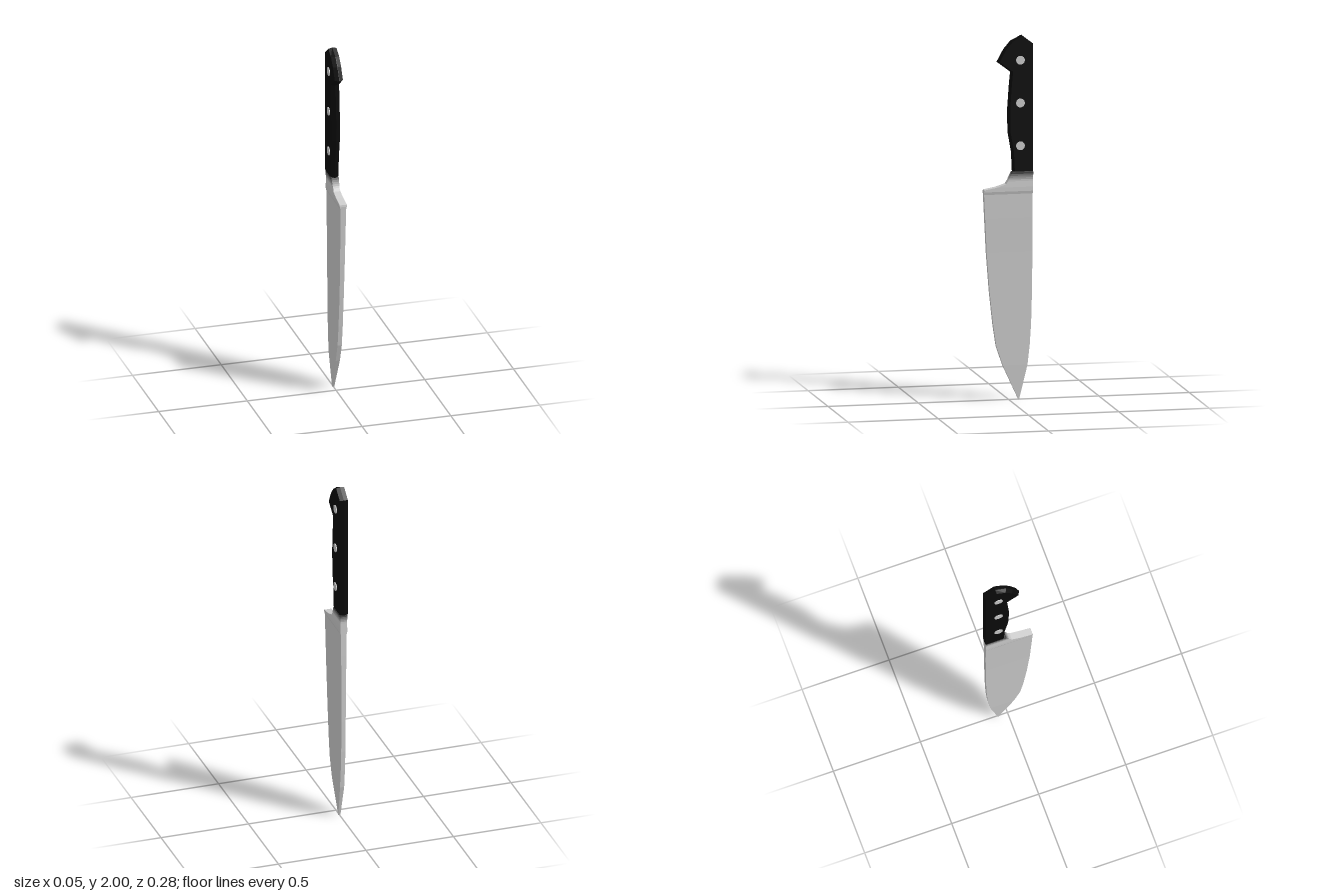
import * as THREE from 'three';

// Lofts rectangular cross-sections [y, frontZ, backZ, halfWidth] from bottom to top
function loft(rings) {
  const pos = [], idx = [];
  for (const [y, f, b, w] of rings) pos.push(w, y, f, w, y, b, -w, y, b, -w, y, f);
  for (let i = 0; i < rings.length - 1; i++) {
    for (let k = 0; k < 4; k++) {
      const a = i * 4 + k, b = i * 4 + (k + 1) % 4;
      idx.push(a, b, b + 4, a, b + 4, a + 4);
    }
  }
  const t = (rings.length - 1) * 4;
  idx.push(0, 2, 1, 0, 3, 2, t, t + 1, t + 2, t, t + 2, t + 3);
  const g = new THREE.BufferGeometry();
  g.setAttribute('position', new THREE.Float32BufferAttribute(pos, 3));
  g.setIndex(idx);
  const flat = g.toNonIndexed();
  flat.computeVertexNormals();
  return flat;
}

export function createModel() {
  const model = new THREE.Group();
  const steel = new THREE.MeshStandardMaterial({ color: 0xcccccc, flatShading: true });
  const black = new THREE.MeshStandardMaterial({ color: 0x0a0a0a, flatShading: true });
  const add = (name, geometry, material) => {
    const mesh = new THREE.Mesh(geometry, material);
    mesh.name = name;
    model.add(mesh);
    return mesh;
  };

  // Blade, point down, cutting edge to the front
  add('blade', loft([
    [0, -0.053, -0.057, 0.006],
    [0.19, 0.034, -0.102, 0.012],
    [0.295, 0.07, -0.114, 0.012],
    [0.415, 0.088, -0.122, 0.012],
    [0.6, 0.108, -0.127, 0.012],
    [0.81, 0.124, -0.129, 0.013],
    [1.0, 0.133, -0.13, 0.015],
    [1.13, 0.139, -0.13, 0.016],
  ]), steel);

  // Bolster flares at the heel and sweeps up into the neck
  add('bolster', loft([
    [1.13, 0.139, -0.13, 0.016],
    [1.145, 0.14, -0.13, 0.02],
    [1.156, 0.138, -0.13, 0.02],
    [1.168, 0.07, -0.13, 0.02],
    [1.185, 0.018, -0.13, 0.019],
    [1.2, 0.008, -0.13, 0.018],
  ]), steel);

  // Neck darkens in bands towards the handle
  const bands = 5;
  const ring = (t) => [1.2 + 0.05 * t, 0.008 - 0.026 * t, -0.13 - 0.003 * t, 0.018 + 0.003 * t];
  for (let i = 0; i < bands; i++) {
    const material = steel.clone();
    material.color.lerp(black.color, (i + 0.5) / bands);
    add('neckBand' + (i + 1), loft([ring(i / bands), ring((i + 1) / bands)]), material);
  }

  // Handle with a hooked pommel: outline as (z, y), edges bevelled to a centre ridge
  const outline = [
    [-0.135, 1.25], [-0.018, 1.25], [-0.013, 1.36], [0.007, 1.475], [0.008, 1.6],
    [-0.002, 1.74], [-0.008, 1.8], [0.067, 1.857], [0.03, 1.925], [-0.008, 1.97],
    [-0.07, 2.0], [-0.135, 1.95],
  ].map(([z, y]) => new THREE.Vector2(z, y));
  const handle = new THREE.ExtrudeGeometry(new THREE.Shape(outline), {
    depth: 0.002, bevelEnabled: true, bevelThickness: 0.022,
    bevelSize: 0.004, bevelOffset: -0.004, bevelSegments: 1,
  });
  handle.translate(0, 0, -0.001).rotateY(-Math.PI / 2);
  // Deeper bevel along the front of the grip
  const p = handle.attributes.position;
  for (let i = 0; i < p.count; i++) {
    if (Math.abs(p.getX(i)) > 0.01 && p.getZ(i) > -0.03) p.setZ(i, p.getZ(i) - 0.008);
  }
  handle.computeVertexNormals();
  add('handle', handle, black);

  // Rivets pass right through the handle
  const rivetMaterial = new THREE.MeshStandardMaterial({ color: 0xcccccc });
  const rivetGeometry = new THREE.CylinderGeometry(0.024, 0.024, 0.055, 24).rotateZ(Math.PI / 2);
  [1.395, 1.63, 1.865].forEach((y, i) => {
    add('rivet' + (i + 1), rivetGeometry, rivetMaterial).position.set(0, y, -0.06);
  });

  return model;
}
